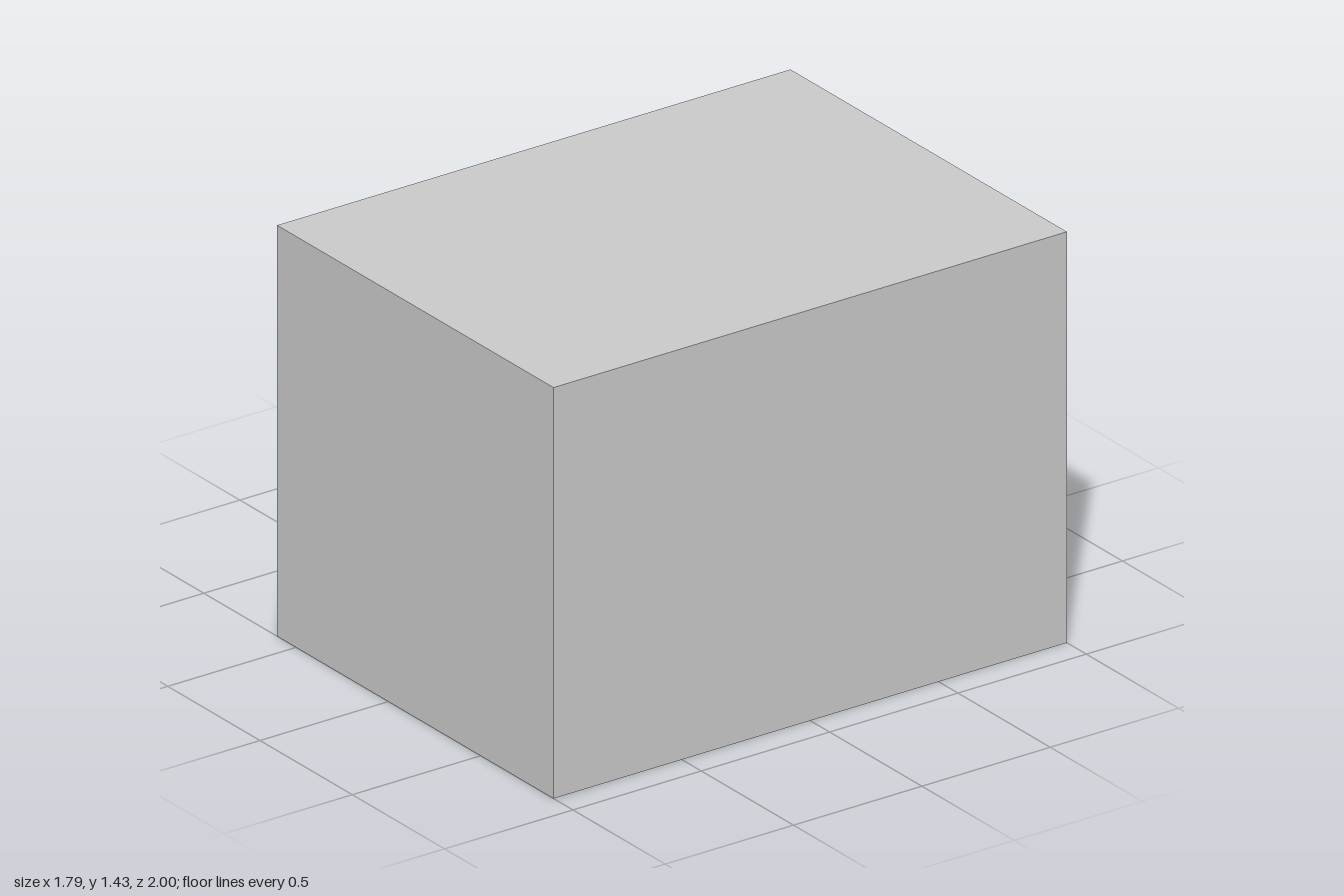
import * as THREE from 'three';

const bodyGrey = new THREE.MeshStandardMaterial({ color: 0xcacaca });
bodyGrey.name = 'light grey';
const doorGrey = new THREE.MeshStandardMaterial({ color: 0x7a7a7a });
doorGrey.name = 'mid grey';
const darkGrey = new THREE.MeshStandardMaterial({ color: 0x404040 });
darkGrey.name = 'dark grey';

// Box given by its lower and upper limits on each axis
function block(name, material, [x0, x1], [y0, y1], [z0, z1]) {
  const mesh = new THREE.Mesh(new THREE.BoxGeometry(x1 - x0, y1 - y0, z1 - z0), material);
  mesh.position.set((x0 + x1) / 2, (y0 + y1) / 2, (z0 + z1) / 2);
  mesh.name = name;
  return mesh;
}

export function createModel() {
  const oven = new THREE.Group();
  oven.name = 'microwaveOven';

  const side = -0.603; // side of the casing that carries the door
  const doorFace = -0.708;

  oven.add(block('casing', bodyGrey, [side, 0.895], [0, 1.434], [-1, 1]));
  oven.add(block('door', doorGrey, [doorFace, side], [0.098, 1.34], [-0.897, 0.549]));

  // Two square buttons beside the door
  for (const [name, y0] of [['upperButton', 0.966], ['lowerButton', 0.629]]) {
    oven.add(block(name, darkGrey, [doorFace, side], [y0, y0 + 0.196], [0.628, 0.857]));
  }

  // C-shaped door handle, extruded along z
  const outline = new THREE.Shape([
    [doorFace, 0.402], [doorFace, 0.554], [-0.822, 0.554], [-0.822, 0.788],
    [doorFace, 0.788], [doorFace, 0.936], [-0.895, 0.936], [-0.895, 0.402],
  ].map(([x, y]) => new THREE.Vector2(x, y)));
  const handle = new THREE.Mesh(
    new THREE.ExtrudeGeometry(outline, { depth: 0.123, bevelEnabled: false }), darkGrey);
  handle.position.z = 0.351;
  handle.name = 'doorHandle';
  oven.add(handle);

  return oven;
}
